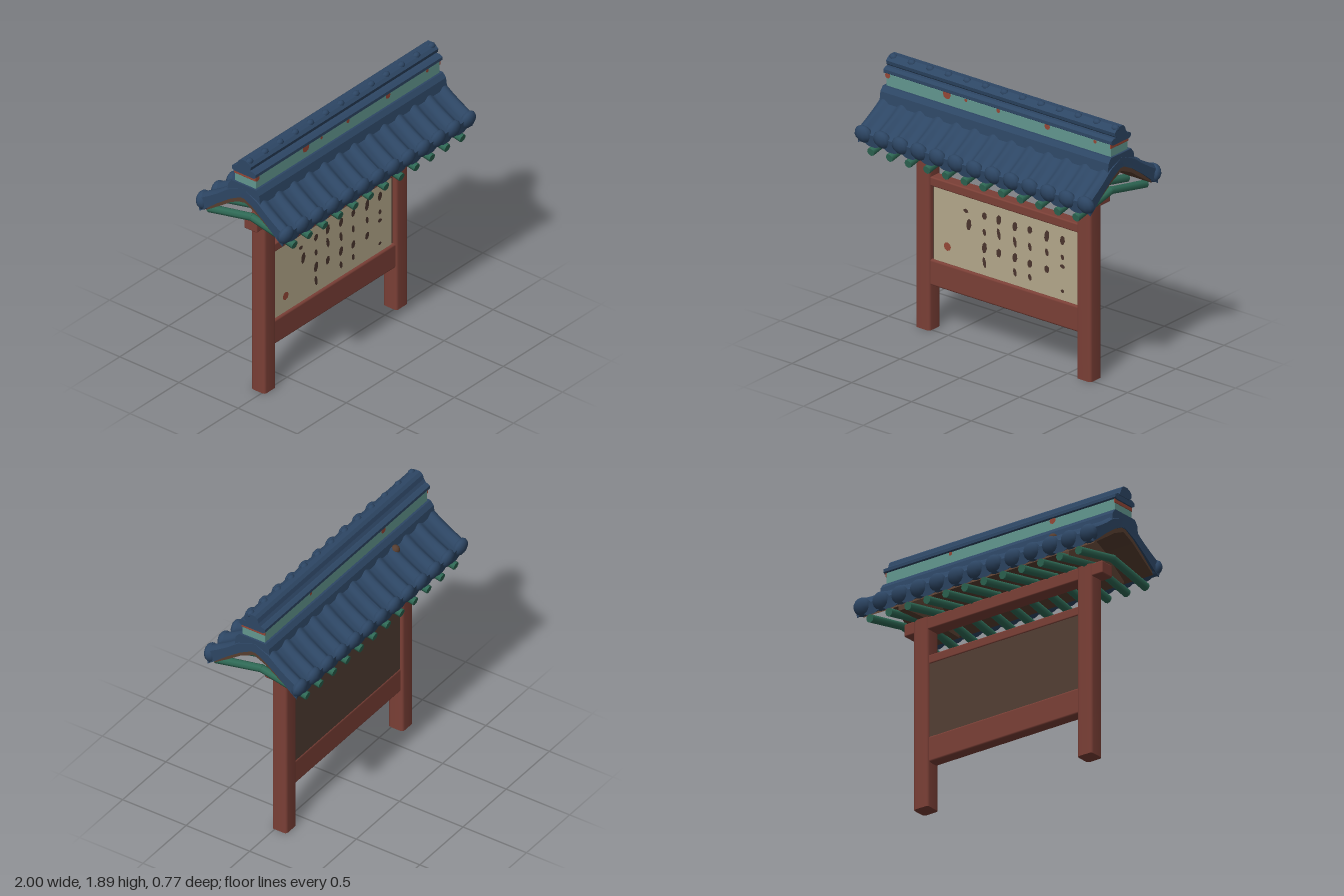
import * as THREE from 'three';
import { mergeVertices, toCreasedNormals } from 'three/addons/utils/BufferGeometryUtils.js';
import { RoundedBoxGeometry } from 'three/addons/geometries/RoundedBoxGeometry.js';

const mat = (name, color) => {
  const m = new THREE.MeshStandardMaterial({ color });
  m.name = name;
  return m;
};
const PITCH = 0.155; // spacing of the tile rows

export function createModel() {
  const M = {
    wood: mat('red wood', 0x7a3f36),
    tile: mat('blue tile', 0x2d4664),
    teal: mat('teal plaster', 0x62978f),
    green: mat('green rafter', 0x2f6a56),
    brown: mat('brown soffit', 0x573e30),
    back: mat('dark brown backing', 0x523e33),
    paper: mat('parchment', 0xb3a78a),
    ink: mat('dark ink', 0x4a352d),
    accent: mat('rust red', 0x944636),
  };
  const model = new THREE.Group();
  const add = (name, geo, material, x = 0, y = 0, z = 0, parent = model) => {
    const mesh = new THREE.Mesh(geo, material);
    mesh.name = name;
    mesh.position.set(x, y, z);
    parent.add(mesh);
    return mesh;
  };
  const group = (name) => {
    const g = new THREE.Group();
    g.name = name;
    model.add(g);
    return g;
  };
  // block given by its limits on each axis
  const block = (name, x0, x1, y0, y1, z0, z1, material, r = 0.01) =>
    add(name, new RoundedBoxGeometry(x1 - x0, y1 - y0, z1 - z0, 2, r), material,
      (x0 + x1) / 2, (y0 + y1) / 2, (z0 + z1) / 2);
  // [z, y] section swept along x
  const sweepX = (pts, x0, x1, steps = 1, hole = null) => {
    const shape = new THREE.Shape(pts.map(([z, y]) => new THREE.Vector2(z, y)));
    if (hole) shape.holes.push(new THREE.Path(hole.map(([z, y]) => new THREE.Vector2(z, y))));
    const g = new THREE.ExtrudeGeometry(shape, { depth: x1 - x0, steps, bevelEnabled: false });
    return g.rotateY(-Math.PI / 2).translate(x1, 0, 0);
  };
  // right half of a section, bottom to top, mirrored about z = c
  const mirrored = (half, c = 0) => [
    ...half.map(([z, y]) => [c + z, y]),
    ...half.slice().reverse().filter(([z]) => z > 0).map(([z, y]) => [c - z, y]),
  ];

  // posts with softened vertical edges and flat feet
  const postSection = new THREE.Shape();
  const [w, d, c] = [0.06, 0.058, 0.022];
  postSection.moveTo(w - c, -d).quadraticCurveTo(w, -d, w, c - d)
    .lineTo(w, d - c).quadraticCurveTo(w, d, w - c, d)
    .lineTo(c - w, d).quadraticCurveTo(-w, d, -w, d - c)
    .lineTo(-w, c - d).quadraticCurveTo(-w, -d, c - w, -d);
  const postGeo = toCreasedNormals(new THREE.ExtrudeGeometry(postSection,
    { depth: 1.36, bevelEnabled: false, curveSegments: 4 }).rotateX(-Math.PI / 2), 0.7);
  add('rightPost', postGeo, M.wood, -0.698, 0, -0.034);
  add('leftPost', postGeo, M.wood, 0.65, 0, -0.034);

  // beam and rails
  block('topBeam', -0.84, 0.79, 1.27, 1.36, -0.085, 0.025, M.wood, 0.01);
  block('upperRail', -0.66, 0.62, 1.025, 1.09, -0.075, 0.012, M.wood);
  block('lowerRail', -0.66, 0.62, 0.32, 0.505, -0.075, 0.012, M.wood, 0.015);

  // notice board
  block('boardBacking', -0.65, 0.61, 0.49, 1.04, -0.07, -0.012, M.back, 0.004);
  block('boardFace', -0.625, 0.575, 0.5, 1.03, -0.013, -0.005, M.paper, 0.002);
  const marks = group('inkMarks');
  const blots = [
    [-0.355, [[0.92, 0.03]]], [-0.33, [[0.83, 0.085]]],
    [-0.2, [[0.925, 0.055], [0.81, 0.05], [0.7, 0.08], [0.595, 0.08]]],
    [-0.08, [[0.93, 0.075], [0.83, 0.085], [0.695, 0.065]]],
    [0.055, [[0.92, 0.07], [0.81, 0.08], [0.7, 0.07], [0.595, 0.06]]],
    [0.18, [[0.93, 0.055], [0.81, 0.06], [0.69, 0.06], [0.595, 0.05]]],
    [0.322, [[0.925, 0.09], [0.81, 0.055], [0.69, 0.055]]],
    [0.453, [[0.93, 0.07], [0.81, 0.04], [0.745, 0.03], [0.57, 0.025]]],
  ];
  for (const [x, column] of blots) {
    column.forEach(([y, h], i) => {
      const m = add('inkMark', new THREE.CircleGeometry(0.5, 7), M.ink, x, y, -0.003, marks);
      m.scale.set(0.03 + 0.012 * ((i + 1) % 2), h, 1);
      m.rotation.z = i % 2 ? 0.2 : -0.15;
    });
  }
  add('redSeal', new THREE.CircleGeometry(0.03, 8), M.accent, -0.51, 0.625, -0.003);

  // wavy tiled roof: one section swept along x, its upper side raised in rows
  const over = [[0.35, 1.36], [0.36, 1.45], [0.33, 1.47], [0.27, 1.505], [0.2, 1.55], [0.12, 1.61], [0, 1.66]];
  const under = [[0, 1.595], [0.1, 1.545], [0.2, 1.475], [0.3, 1.395]];
  const roofSection = [
    ...mirrored(over),
    ...under.slice().reverse().map(([z, y]) => [-z, y]),
    ...under.slice(1),
  ];
  let roof = sweepX(roofSection, -0.97, 0.97, 125);
  const p = roof.attributes.position;
  for (let i = 0; i < p.count; i++) {
    const x = p.getX(i), y = p.getY(i), z = p.getZ(i), a = Math.abs(z);
    const wave = Math.max(-0.3, Math.cos((2 * Math.PI * x) / PITCH));
    if (y > 1.615 - 0.6 * a) p.setY(i, y + wave * (0.01 + 0.06 * a));
    else if (a > 0.34) p.setY(i, y + wave * 0.015);
    p.setX(i, x * (0.985 + 0.05 * a));
  }
  roof.deleteAttribute('normal');
  roof.deleteAttribute('uv');
  roof = toCreasedNormals(mergeVertices(roof), 0.7);
  add('tiledRoof', roof, M.tile);

  // rounded tile ends along both eaves
  const ends = group('eaveTileEnds');
  const endGeo = new THREE.SphereGeometry(0.068, 10, 8);
  for (const s of [1, -1]) {
    for (let k = -6; k <= 6; k++) {
      const e = add('tileEnd', endGeo, M.tile, k * PITCH, 1.428, s * 0.345, ends);
      e.scale.set(1, 0.95, 0.62);
      e.rotation.x = s * 0.25;
    }
  }
  // worn patch on the rear slope
  add('wornPatch', new THREE.SphereGeometry(0.032, 10, 8), M.brown, -0.48, 1.598, -0.14);

  // soffit under the tiles and gable walls with a small opening at the back
  const soffit = [
    ...under, [0.315, 1.368], [0.2, 1.445], [0.1, 1.515], [0, 1.56],
    [-0.1, 1.515], [-0.2, 1.445], [-0.315, 1.368],
    ...under.slice(1).reverse().map(([z, y]) => [-z, y]),
  ];
  add('soffit', sweepX(soffit, -0.95, 0.95), M.brown);
  const gable = [[0.29, 1.355], [0.3, 1.385], [0.1, 1.525], [0, 1.57], [-0.1, 1.525], [-0.29, 1.395], [-0.29, 1.35], [0, 1.37]];
  const opening = [[-0.06, 1.405], [-0.155, 1.4], [-0.15, 1.425], [-0.09, 1.455]];
  for (const x of [-0.7, 0.65]) {
    add('gableWall', sweepX(gable, x - 0.025, x + 0.025, 1, opening), M.brown);
  }

  // rafters sloping out to both eaves
  const rafters = group('rafters');
  const rafterGeo = new THREE.CylinderGeometry(0.029, 0.027, 0.38, 8);
  for (const s of [1, -1]) {
    for (let k = 0; k < 12; k++) {
      const r = add('rafter', rafterGeo, M.green, (k - 5.5) * 0.156, 1.36, s * 0.175, rafters);
      r.rotation.x = s * (Math.PI / 2 + 0.2);
    }
  }

  // layered ridge
  const ridgeBase = [[0.14, 1.585], [0.13, 1.655], [0.105, 1.688]];
  add('ridgeBase', sweepX(mirrored(ridgeBase, 0.01), -0.955, 0.955), M.tile);
  block('ridgeWall', -0.94, 0.94, 1.68, 1.775, -0.08, 0.1, M.teal, 0.005);
  for (const s of [1, -1]) {
    block('ridgeEndBand', s * 0.94 - 0.004, s * 0.94 + 0.004, 1.745, 1.775, -0.082, 0.102, M.accent, 0.002);
  }
  const ridgeCap = [[0.085, 1.77], [0.1, 1.78], [0.1, 1.802], [0.075, 1.815]];
  add('ridgeCap', sweepX(mirrored(ridgeCap, 0.01), -0.955, 0.955), M.tile);
  const ridgeRoll = [[0.05, 1.805], [0.07, 1.825], [0.075, 1.85], [0.055, 1.87], [0.03, 1.882],
    [-0.01, 1.882], [-0.03, 1.865], [-0.04, 1.835], [-0.06, 1.805]];
  add('ridgeRoll', sweepX(ridgeRoll, -0.96, 0.955), M.tile);
  const knobs = group('ridgeKnobs');
  const knobGeo = new THREE.SphereGeometry(0.024, 8, 6).scale(1.3, 1, 1);
  for (let k = -6; k <= 6; k++) add('ridgeKnob', knobGeo, M.tile, k * PITCH, 1.87, 0.038, knobs);

  // rust-red studs on the ridge wall, more on the front than on the back
  const studs = group('ridgeStuds');
  const front = [[-0.925, 0.022], [-0.43, 0.034], [-0.27, 0.012], [0, 0.016], [0.41, 0.024], [0.81, 0.014]];
  const rear = [[-0.43, 0.026], [0.41, 0.014]];
  for (const [s, list] of [[1, front], [-1, rear]]) {
    for (const [x, r] of list) {
      const stud = add('ridgeStud', new THREE.CircleGeometry(r, 8), M.accent, x, 1.762, 0.01 + s * 0.092, studs);
      if (s < 0) stud.rotation.y = Math.PI;
    }
  }
  return model;
}
